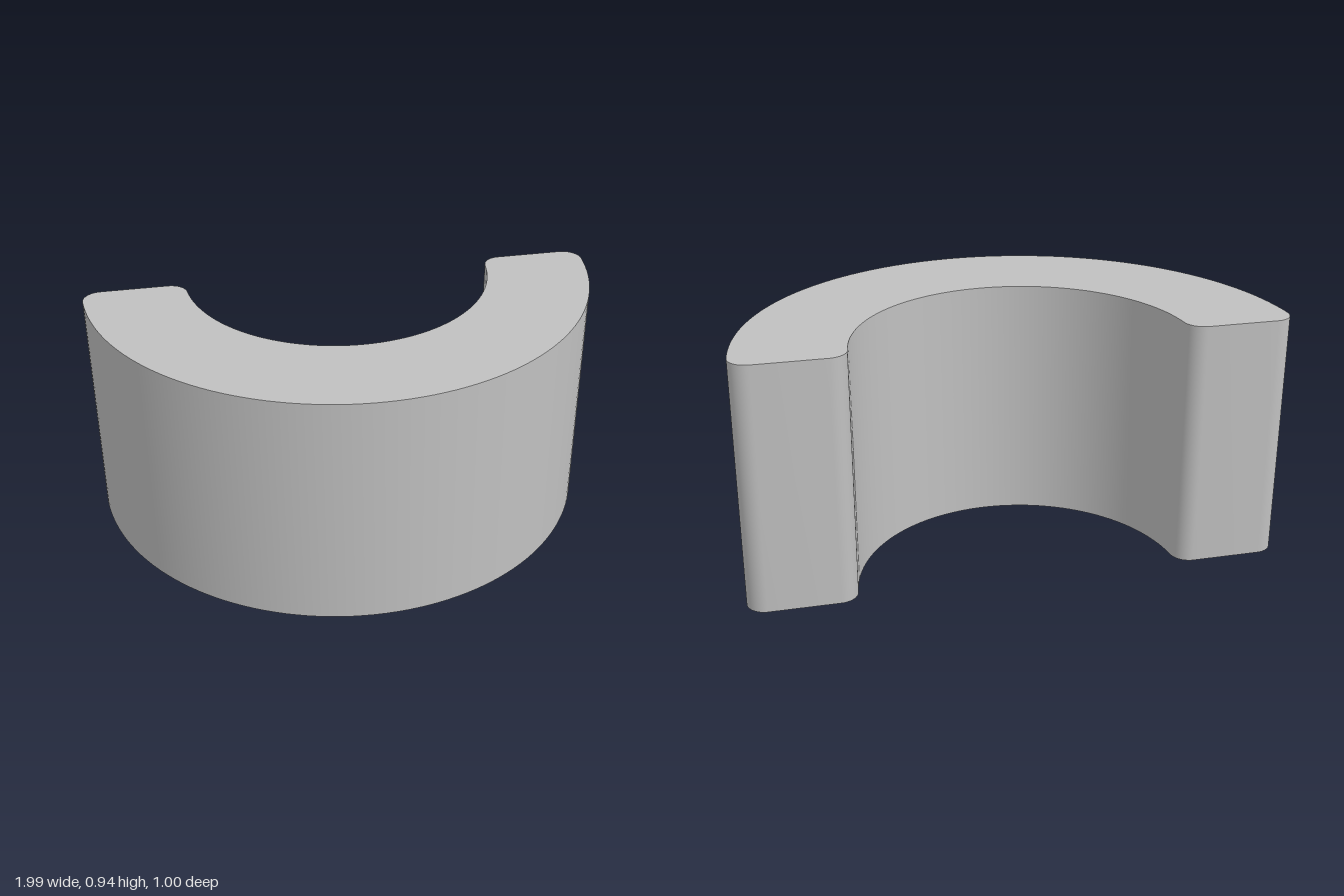
import * as THREE from 'three';
import { toCreasedNormals } from 'three/addons/utils/BufferGeometryUtils.js';

const OUTER = 1, INNER = 0.6, HEIGHT = 0.938, FILLET = 0.07;

// Half-ring outline with rounded ends, counter-clockwise
function halfRingOutline() {
  const points = [];
  const arc = (cx, cy, radius, from, to, steps) => {
    for (let i = 0; i <= steps; i++) {
      const t = from + (to - from) * i / steps;
      const p = new THREE.Vector2(cx + radius * Math.cos(t), cy + radius * Math.sin(t));
      if (!points.some((q) => q.distanceTo(p) < 1e-4)) points.push(p);
    }
  };
  // Angles and centres where the fillets touch the two arcs
  const a = Math.asin(FILLET / (OUTER - FILLET));
  const b = Math.asin(FILLET / (INNER + FILLET));
  const xo = (OUTER - FILLET) * Math.cos(a);
  const xi = (INNER + FILLET) * Math.cos(b);
  const PI = Math.PI, down = 1.5 * PI;

  arc(0, 0, OUTER, a, PI - a, 72);
  arc(-xo, FILLET, FILLET, PI - a, down, 10);
  arc(-xi, FILLET, FILLET, down, 2 * PI - b, 10);
  arc(0, 0, INNER, PI - b, b, 60);
  arc(xi, FILLET, FILLET, PI + b, down, 10);
  arc(xo, FILLET, FILLET, down, 2 * PI + a, 10);
  return new THREE.Shape(points);
}

export function createModel() {
  const model = new THREE.Group();
  model.name = 'halfRing';

  const grey = new THREE.MeshStandardMaterial({ color: 0xc0c0c0 });
  grey.name = 'plain grey';

  // Extrude upright, with the curved side to the front
  const extruded = new THREE.ExtrudeGeometry(halfRingOutline(), { depth: HEIGHT, bevelEnabled: false });
  extruded.rotateX(Math.PI / 2);
  extruded.translate(0, HEIGHT, -0.5);

  const body = new THREE.Mesh(toCreasedNormals(extruded, 0.6), grey);
  body.name = 'halfRingBody';
  model.add(body);
  return model;
}
